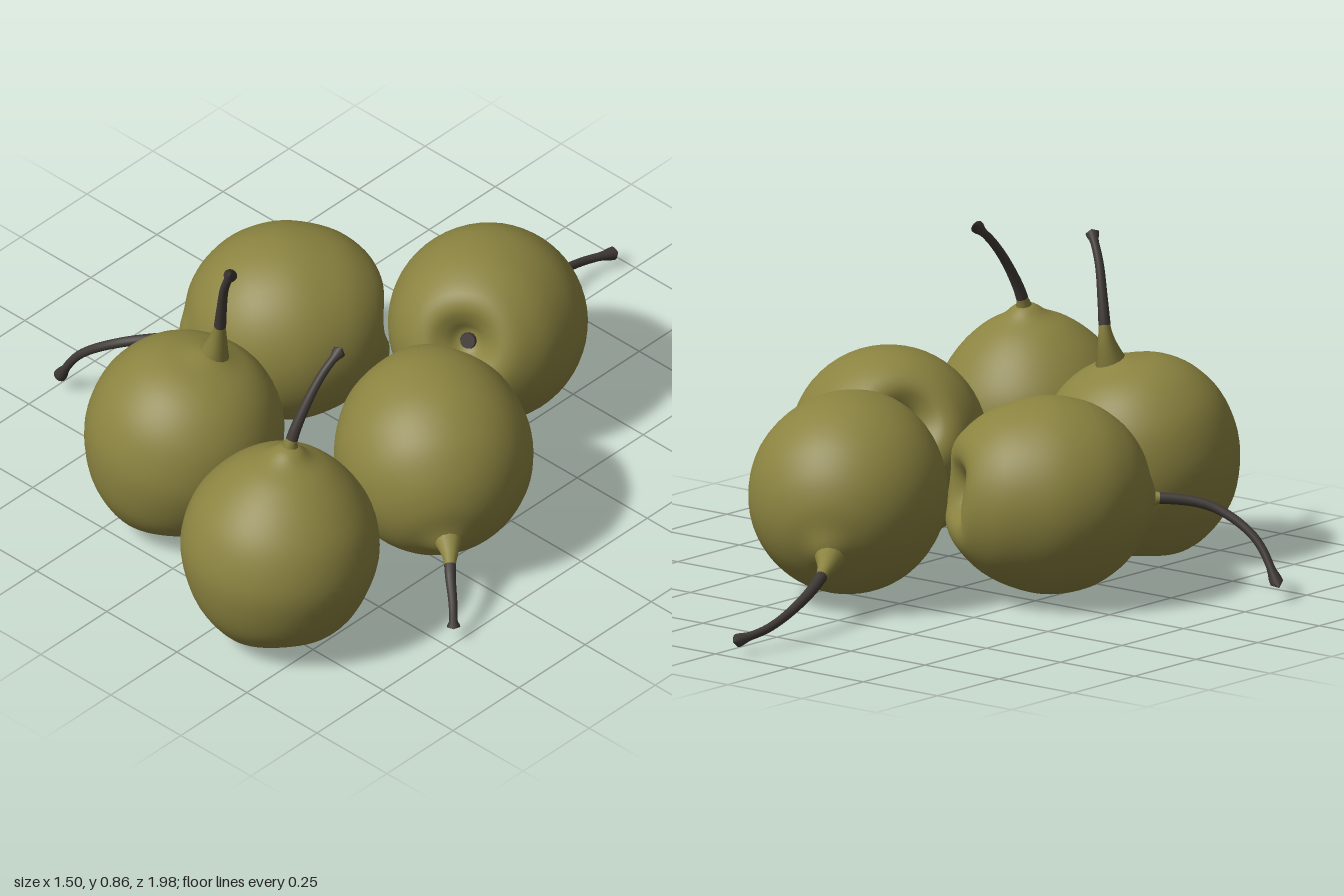
import * as THREE from 'three';

const skin = new THREE.MeshStandardMaterial({ color: 0x8b8340 });
skin.name = 'olive skin';
const bark = new THREE.MeshStandardMaterial({ color: 0x403a36 });
bark.name = 'dark stem';

const v = (p) => new THREE.Vector3(...p);

// centre, axis (towards the stalk), point = how pointed the shoulder is,
// stalk = path starting inside the fruit, neck = share of the path with skin on it
const PEARS = [
  { name: 'frontLeftPear', centre: [0.372, 0.265, 0.738], axis: [0, 0.3, -0.035], point: 1, neck: 0.24,
    stalk: [[0.37, 0.5, 0.705], [0.371, 0.57, 0.695], [0.377, 0.66, 0.65], [0.384, 0.74, 0.59], [0.396, 0.797, 0.53]] },
  { name: 'frontRightPear', centre: [-0.132, 0.263, 0.567], axis: [0.05, 0.3, -0.06], point: 0, neck: 0.37,
    stalk: [[-0.09, 0.48, 0.51], [-0.075, 0.57, 0.497], [-0.058, 0.66, 0.505], [-0.03, 0.76, 0.523], [0.01, 0.84, 0.54]] },
  { name: 'leftPear', centre: [0.41, 0.268, 0.197], axis: [0.22, -0.13, 0.17], point: 0.4, neck: 0.42,
    stalk: [[0.58, 0.185, 0.33], [0.63, 0.155, 0.37], [0.67, 0.125, 0.41], [0.71, 0.075, 0.443], [0.738, 0.02, 0.47]] },
  { name: 'rightPear', centre: [-0.265, 0.262, 0.045], axis: [-0.18, -0.02, 0.23], point: 0.3, neck: 0.13,
    stalk: [[-0.405, 0.235, 0.23], [-0.45, 0.238, 0.28], [-0.55, 0.215, 0.36], [-0.66, 0.14, 0.4], [-0.74, 0.02, 0.4]] },
  { name: 'backPear', centre: [0.13, 0.268, -0.305], axis: [-0.13, -0.12, -0.25], point: 0.3, neck: 0.25,
    stalk: [[0.03, 0.165, -0.49], [-0.01, 0.128, -0.57], [-0.05, 0.085, -0.7], [-0.07, 0.04, -0.87], [-0.047, 0.02, -0.985]] },
];

// Tube whose radius follows radiusAt(t) along a stretch of a curve, closed at its far end
function taperedTube(curve, from, to, radiusAt) {
  const rings = 28, sides = 14;
  const pts = [];
  for (let i = 0; i <= 12; i++) {
    pts.push(curve.getPointAt(Math.min(1, THREE.MathUtils.lerp(from, to, i / 12))));
  }
  const path = new THREE.CatmullRomCurve3(pts);
  const geo = new THREE.TubeGeometry(path, rings, 1, sides, false);
  const pos = geo.attributes.position, p = new THREE.Vector3();
  for (let i = 0; i <= rings; i++) {
    const c = path.getPointAt(i / rings);
    const r = i === rings ? 0.0005 : radiusAt(i / rings);
    for (let j = 0; j <= sides; j++) {
      const k = i * (sides + 1) + j;
      p.fromBufferAttribute(pos, k).sub(c).multiplyScalar(r).add(c);
      pos.setXYZ(k, p.x, p.y, p.z);
    }
  }
  return geo;
}

// Fruit body turned around y, with a dimpled base and soft lobes around it
function fruitGeometry(point) {
  const mix = (a, b) => a + (b - a) * point;
  const profile = new THREE.SplineCurve([
    [0, -0.2], [0.03, -0.206], [0.06, -0.232], [0.1, -0.252], [0.15, -0.237], [0.21, -0.172],
    [0.248, -0.08], [0.259, 0.005], [mix(0.242, 0.237), 0.1], [mix(0.195, 0.185), 0.178],
    [mix(0.135, 0.122), mix(0.226, 0.234)], [mix(0.07, 0.062), mix(0.25, 0.266)],
    [0.03, mix(0.263, 0.29)], [0, mix(0.27, 0.3)],
  ].map(([x, y]) => new THREE.Vector2(x, y))).getPoints(52);
  profile.forEach((p) => { p.x = Math.max(p.x, 0); });
  const geo = new THREE.LatheGeometry(profile, 56);
  const pos = geo.attributes.position;
  for (let i = 0; i < pos.count; i++) {
    const x = pos.getX(i), y = pos.getY(i), z = pos.getZ(i);
    const low = THREE.MathUtils.clamp(-y / 0.25, 0, 1);
    const r = Math.hypot(x, z), a = Math.atan2(z, x);
    pos.setY(i, y + 0.007 * low * low * Math.sin(3 * a) * Math.min(r / 0.1, 1));
  }
  return geo;
}

function makePear({ name, centre, axis, point, neck, stalk }) {
  const pear = new THREE.Group();
  pear.name = name;
  const add = (parent, part, geo, mat) => {
    const mesh = new THREE.Mesh(geo, mat);
    mesh.name = part;
    parent.add(mesh);
    return mesh;
  };

  // Body and the dark eye in its base dimple, turned to the fruit's axis
  const fruit = new THREE.Group();
  fruit.name = 'fruit';
  fruit.position.copy(v(centre));
  fruit.quaternion.setFromUnitVectors(new THREE.Vector3(0, 1, 0), v(axis).normalize());
  add(fruit, 'body', fruitGeometry(point), skin);
  add(fruit, 'baseEye', new THREE.CylinderGeometry(0.024, 0.02, 0.014, 12), bark).position.y = -0.205;
  pear.add(fruit);

  // Fleshy neck running into the woody stem
  const curve = new THREE.CatmullRomCurve3(stalk.map(v));
  add(pear, 'neck', taperedTube(curve, 0, neck, (t) => 0.014 + 0.04 * (1 - t) ** 1.6), skin);
  add(pear, 'stem', taperedTube(curve, neck * 0.9, 1,
    (t) => 0.011 + 0.005 * (1 - t) ** 2 + 0.007 * THREE.MathUtils.smoothstep(t, 0.86, 0.96)), bark);
  return pear;
}

export function createModel() {
  const model = new THREE.Group();
  model.name = 'pears';
  PEARS.forEach((p) => model.add(makePear(p)));
  return model;
}
